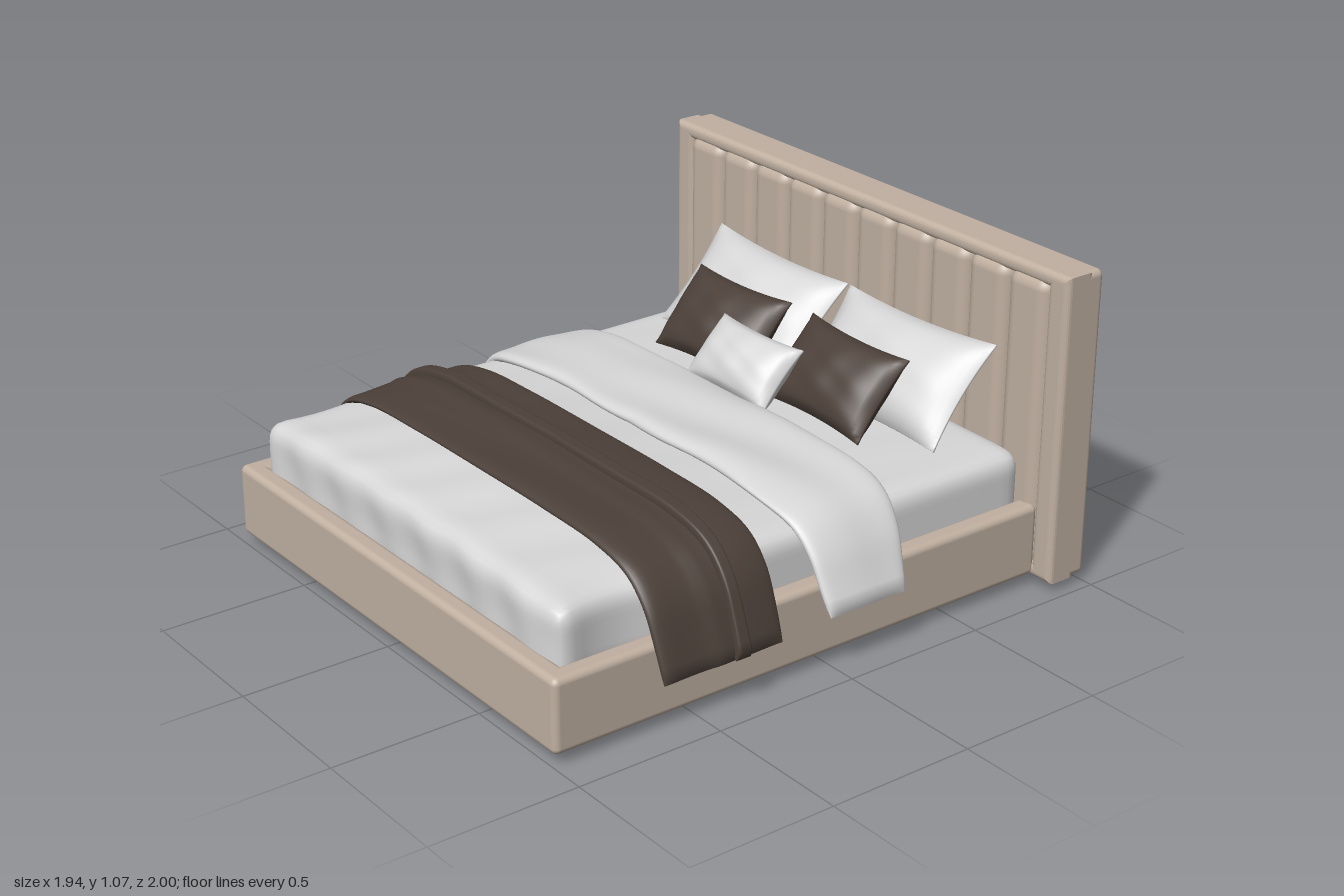
import * as THREE from 'three';
import { mergeVertices } from 'three/addons/utils/BufferGeometryUtils.js';
import { RoundedBoxGeometry } from 'three/addons/geometries/RoundedBoxGeometry.js';

const mat = (name, color) => Object.assign(new THREE.MeshStandardMaterial({ color }), { name });

// Moves every vertex by a rule, then welds and smooths the surface
function warp(geo, rule) {
  geo.deleteAttribute('uv');
  geo.deleteAttribute('normal');
  const p = geo.attributes.position, v = new THREE.Vector3();
  for (let i = 0; i < p.count; i++) {
    rule(v.fromBufferAttribute(p, i));
    p.setXYZ(i, v.x, v.y, v.z);
  }
  const out = mergeVertices(geo, 1e-5);
  out.computeVertexNormals();
  return out;
}

// Cushion: thick in the middle, thin seam, edges drawn in between pointed corners
function cushionGeometry(w, h, t, seam) {
  return warp(new THREE.BoxGeometry(2, 2, 2, 30, 22, 1), (p) => {
    const { x: u, y: v, z: s } = p;
    const c = (k) => Math.max(0, 1 - (k / seam) ** 2);
    const fill = Math.pow(c(u) * c(v), 0.48);
    const crease = 0.004 * Math.sin(7 * u + 4 * v) * Math.sin(5 * v - 2 * u) * fill;
    p.set(
      (w / 2) * u * (1 - 0.05 * (1 - v * v)),
      (h / 2) * v * (1 - 0.09 * (1 - u * u)),
      s * (0.004 + (t / 2) * fill) + crease
    );
  });
}

// Cloth band hung over the bed: a thick strip swept along a mirrored profile
function drapeGeometry(half, { thick, edges, wrinkle = () => 0, lift = 0 }) {
  const pts = [...half.slice(1).reverse().map(([x, y]) => [-x, y]), ...half];
  const curve = new THREE.CatmullRomCurve3(pts.map(([x, y]) => new THREE.Vector3(x, y, 0)));
  const N = 90, K = 28, ring = 2 * K, pos = [], idx = [];
  for (let i = 0; i <= N; i++) {
    const u = i / N, p = curve.getPointAt(u), t = curve.getTangentAt(u);
    const [z0, z1] = edges(Math.abs(2 * u - 1));
    const full = i === 0 || i === N ? 0 : thick / 2;
    for (let j = 0; j < ring; j++) {
      const top = j <= K;
      const s = Math.sin((Math.PI / 2) * (top ? (2 * j) / K - 1 : 3 - (2 * j) / K));
      const round = Math.sqrt(Math.max(0, 1 - s ** 8));
      const z = (z0 + z1) / 2 + ((z1 - z0) / 2) * s;
      const o = lift - thick / 2 + (top ? 1 : -1) * full * round + (top ? wrinkle(p.x, z) * round : 0);
      pos.push(p.x - t.y * o, p.y + t.x * o, z);
      if (i < N) {
        const a = i * ring + j, b = i * ring + ((j + 1) % ring);
        idx.push(a, b, a + ring, b, b + ring, a + ring);
      }
    }
  }
  const g = new THREE.BufferGeometry();
  g.setAttribute('position', new THREE.Float32BufferAttribute(pos, 3));
  g.setIndex(idx);
  g.computeVertexNormals();
  return g;
}

export function createModel() {
  const bed = new THREE.Group();
  bed.name = 'bed';
  const beige = mat('beige upholstery', 0xc0b0a1);
  const white = mat('white linen', 0xd6d6d6);
  const brown = mat('dark brown fabric', 0x4c4039);
  const black = mat('underside lining', 0x2a2523);
  const footMat = mat('feet', 0x4a4542);

  const add = (name, geo, material, x = 0, y = 0, z = 0, parent = bed) => {
    const m = new THREE.Mesh(geo, material);
    m.name = name;
    m.position.set(x, y, z);
    parent.add(m);
    return m;
  };
  // Rounded box given by its limits
  const block = (name, [x0, x1], [y0, y1], [z0, z1], r, material, parent) =>
    add(name, new RoundedBoxGeometry(x1 - x0, y1 - y0, z1 - z0, 4, r), material,
      (x0 + x1) / 2, (y0 + y1) / 2, (z0 + z1) / 2, parent);

  // Headboard: back slab, raised frame and ten padded channels
  const headboard = new THREE.Group();
  headboard.name = 'headboard';
  bed.add(headboard);
  block('headboardBack', [-0.965, 0.965], [0.03, 1.065], [-1, -0.89], 0.022, beige, headboard);
  const rect = (P, x, y0, y1) => {
    const s = new P();
    s.moveTo(-x, y0);
    s.lineTo(x, y0);
    s.lineTo(x, y1);
    s.lineTo(-x, y1);
    s.closePath();
    return s;
  };
  const frame = rect(THREE.Shape, 0.943, 0.052, 1.043);
  frame.holes.push(rect(THREE.Path, 0.9, 0.06, 1.036));
  add('headboardFrame', new THREE.ExtrudeGeometry(frame, {
    depth: 0.07, bevelThickness: 0.02, bevelSize: 0.022, bevelSegments: 5,
  }), beige, 0, 0, -0.935, headboard);
  const cw = 0.177;
  for (let i = 0; i < 10; i++) {
    const x = -0.885 + i * cw;
    block('channel', [x, x + cw], [0.05, 1.035], [-0.93, -0.834], 0.045, beige, headboard);
  }

  // Bed base: side rails, front rail and head rail
  for (const s of [-1, 1])
    block('sideRail', s < 0 ? [-0.885, -0.81] : [0.81, 0.885], [0.035, 0.28], [-0.86, 0.98], 0.022, beige);
  block('frontRail', [-0.885, 0.885], [0.035, 0.28], [0.925, 1], 0.022, beige);
  block('headRail', [-0.85, 0.85], [0.06, 0.26], [-0.9, -0.84], 0.01, beige);

  // Underside: lining board with beams
  block('liningBoard', [-0.83, 0.83], [0.1, 0.21], [-0.86, 0.94], 0.005, black);
  block('centreBeam', [-0.02, 0.02], [0.075, 0.11], [-0.85, 0.93], 0.004, footMat);
  for (const z of [-0.45, -0.1, 0.3, 0.6])
    block('crossBeam', [-0.81, 0.81], [0.085, 0.11], [z - 0.012, z + 0.012], 0.004, footMat);

  // Feet
  const foot = new THREE.CylinderGeometry(0.024, 0.022, 0.12, 16);
  for (const z of [0.56, 0.2, -0.17, -0.45]) add('centreFoot', foot, footMat, 0, 0.06, z);
  for (const s of [-1, 1]) {
    for (const z of [0.56, -0.17, -0.45]) add('innerFoot', foot, footMat, s * 0.345, 0.06, z);
    for (const z of [0.92, 0.56, 0.2, -0.17, -0.73, -0.82]) add('sideFoot', foot, footMat, s * 0.79, 0.06, z);
    add('headboardFoot', new THREE.CylinderGeometry(0.03, 0.028, 0.04, 16), footMat, s * 0.89, 0.02, -0.93);
  }

  // Mattress: soft box with a crowned top, drawn-in sides and faint creases
  const W = 0.82, L = 0.895, H = 0.125, R = 0.06;
  const mattress = warp(new THREE.BoxGeometry(2 * W, 2 * H, 2 * L, 52, 12, 56), (p) => {
    const inner = new THREE.Vector3(W - R, H - R, L - R);
    const core = p.clone().clamp(inner.clone().negate(), inner);
    p.sub(core).setLength(Math.min(R, p.length())).add(core);
    const k = Math.max(0, p.y / H), zw = p.z + 0.045;
    const crown = 1 - (p.x / W) ** 2;
    const swell = Math.exp(-(((zw - 0.5) / 0.34) ** 2));
    p.y += k * crown * (0.012 + 0.04 * swell);
    p.y += k * 0.003 * Math.sin(22 * p.x + 9 * zw) * (zw > 0.6 ? 1 : 0.3);
    if (zw > 0.6) p.x *= 1 - 0.03 * Math.max(0, 1 - ((zw - 0.75) / 0.15) ** 2);
    if (p.z > L - 0.1) p.z -= 0.012 * crown * (1 - k) + 0.004 * Math.sin(26 * p.x + 12 * p.y);
  });
  add('mattress', mattress, white, 0, 0.32, 0.045);

  // Folded duvet across the middle
  add('duvet', drapeGeometry(
    [[0, 0.525], [0.35, 0.525], [0.65, 0.508], [0.8, 0.465], [0.885, 0.385], [0.94, 0.29], [0.98, 0.215]], {
      thick: 0.045,
      edges: (a) => {
        const d = Math.max(0, (a - 0.62) / 0.38);
        return [-0.31 + 0.075 * d ** 1.5, 0.08 - 0.03 * d * d + 0.006 * Math.sin(14 * a)];
      },
      wrinkle: (x, z) => 0.005 * Math.sin(11 * x + 6 * z) * Math.sin(13 * z - 4 * x) + 0.004 * Math.sin(23 * z + 3 * x),
    }), white);

  // Throw blanket with a folded ridge
  const hang = [[0, 0.528], [0.35, 0.526], [0.62, 0.513], [0.77, 0.472], [0.855, 0.39], [0.91, 0.27], [0.945, 0.17]];
  add('throwBlanket', drapeGeometry(hang, {
    thick: 0.036,
    edges: (a) => [0.205 + 0.008 * a ** 4, 0.66 - 0.012 * a ** 6],
    wrinkle: (x, z) => 0.007 * Math.exp(-(((z - 0.45 - 0.01 * Math.sin(4 * x)) / 0.02) ** 2)) +
      0.004 * Math.sin(20 * z + 1.5 * Math.sin(3 * x)),
  }), brown);
  add('throwFold', drapeGeometry(hang, {
    thick: 0.05,
    lift: 0.025,
    edges: (a) => [0.345 + 0.004 * Math.sin(9 * a), 0.398 + 0.004 * Math.sin(7 * a)],
  }), brown);

  // Pillows, leaning back
  const pillow = (name, geo, material, pos, lean, yaw, roll) => {
    const m = add(name, geo, material, ...pos);
    m.rotation.set(-lean, yaw, roll);
  };
  const large = cushionGeometry(0.68, 0.39, 0.16, 0.95);
  const medium = cushionGeometry(0.47, 0.31, 0.14, 1);
  for (const s of [-1, 1]) {
    pillow('sleepingPillow', large, white, [s * 0.352, 0.61, -0.7], 0.72, 0, s * 0.02);
    pillow('darkCushion', medium, brown, [s * 0.288, 0.595, -0.52], 0.7, 0, s * -0.02);
  }
  pillow('smallCushion', cushionGeometry(0.4, 0.24, 0.13, 1), white, [0, 0.585, -0.378], 0.75, 0, 0);

  return bed;
}
